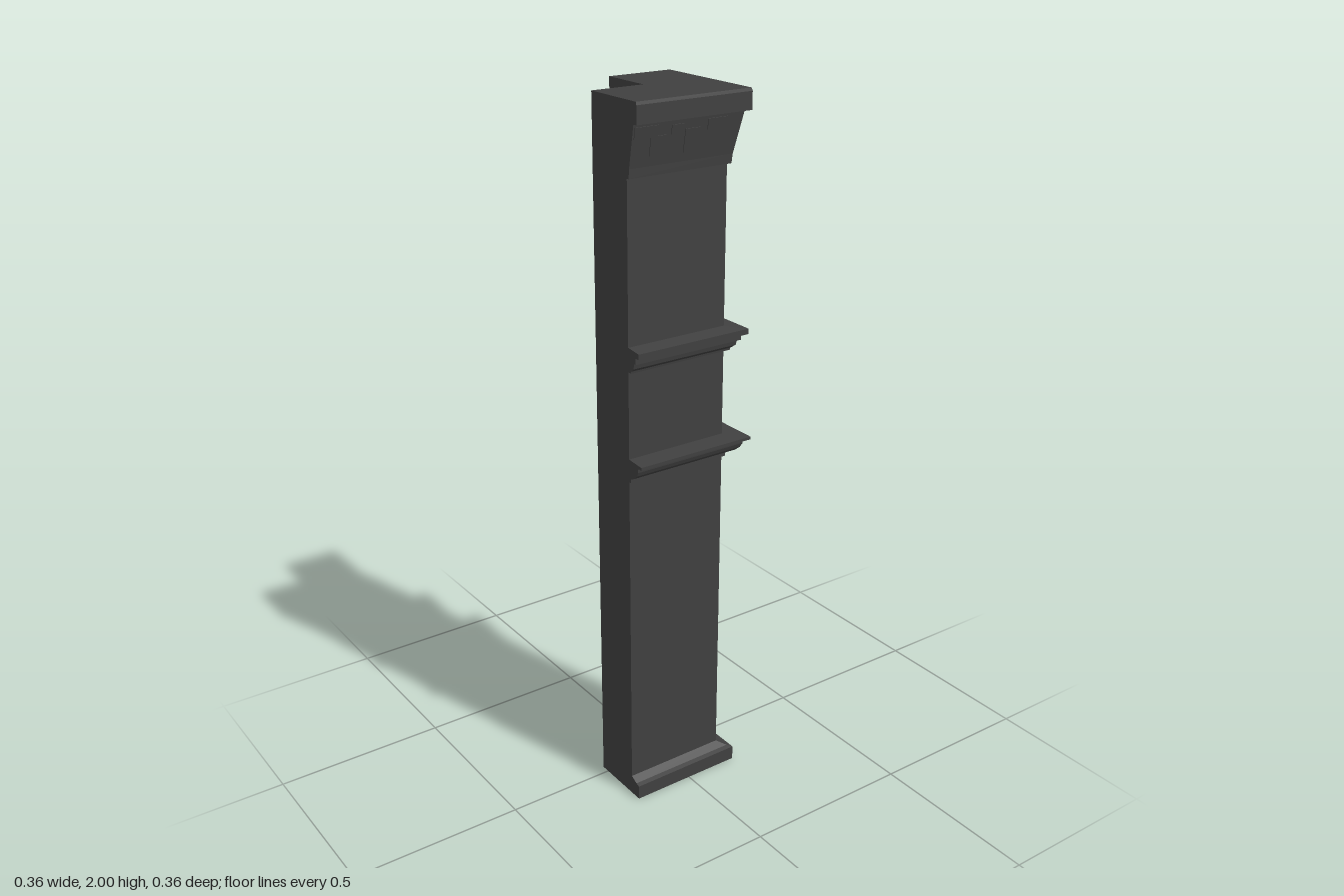
import * as THREE from 'three';

const material = new THREE.MeshStandardMaterial({ color: 0x404040, flatShading: true });
const END = 0.18, INNER = 0.025, SHAFT = 0.127;

// L-shaped section whose two outer faces stand at distance d; the end faces stay flush
const section = (d) => [
  [-END, INNER], [-INNER, INNER], [-INNER, END], [d, END], [d, -d], [-END, -d],
];

// Stack of L sections following a profile of [outer distance, height], capped at both ends
function lColumn(name, profile) {
  const pos = [];
  const tri = (a, b, c) => pos.push(...a, ...b, ...c);
  const rings = profile.map(([d, y]) => section(d).map(([x, z]) => [x, y, z]));
  for (let i = 0; i < rings.length - 1; i++) {
    const lo = rings[i], hi = rings[i + 1];
    for (let k = 0; k < 6; k++) {
      // Horizontal steps only exist on the two outer faces
      if (profile[i][1] === profile[i + 1][1] && k !== 3 && k !== 4) continue;
      const n = (k + 1) % 6;
      tri(lo[k], lo[n], hi[n]);
      tri(lo[k], hi[n], hi[k]);
    }
  }
  const caps = THREE.ShapeUtils.triangulateShape(
    section(SHAFT).map(([x, z]) => new THREE.Vector2(x, z)), []);
  const bottom = rings[0], top = rings[rings.length - 1];
  for (const [a, b, c] of caps) {
    const [p, q, r] = [top[a], top[b], top[c]];
    const up = (q[2] - p[2]) * (r[0] - p[0]) - (q[0] - p[0]) * (r[2] - p[2]) > 0;
    const [s, t] = up ? [b, c] : [c, b];
    tri(top[a], top[s], top[t]);
    tri(bottom[a], bottom[t], bottom[s]);
  }
  const geo = new THREE.BufferGeometry();
  geo.setAttribute('position', new THREE.Float32BufferAttribute(pos, 3));
  geo.computeVertexNormals();
  const mesh = new THREE.Mesh(geo, material);
  mesh.name = name;
  return mesh;
}

export function createModel() {
  const model = new THREE.Group();
  model.name = 'cornerPilaster';

  // Plinth, shaft, two moulded bands and flared capital, from the ground up
  model.add(
    lColumn('base', [[0.163, 0], [0.163, 0.042], [0.15, 0.046], [SHAFT, 0.058]]),
    lColumn('lowerShaft', [[SHAFT, 0.058], [SHAFT, 1.0]]),
    lColumn('lowerMoulding', [
      [0.134, 1.0], [0.134, 1.012], [0.142, 1.014], [0.153, 1.02], [0.163, 1.03],
      [0.168, 1.042], [0.169, 1.054], [0.183, 1.054], [0.183, 1.062], [SHAFT, 1.066],
    ]),
    lColumn('middleShaft', [[SHAFT, 1.066], [SHAFT, 1.31]]),
    lColumn('upperMoulding', [
      [0.139, 1.31], [0.14, 1.316], [0.15, 1.325], [0.153, 1.34], [0.16, 1.34],
      [0.16, 1.357], [0.174, 1.357], [0.174, 1.372], [SHAFT, 1.377],
    ]),
    lColumn('upperShaft', [[SHAFT, 1.377], [SHAFT, 1.81]]),
    lColumn('capital', [[0.135, 1.81], [0.137, 1.835], [0.157, 1.945]]),
    lColumn('cornice', [[0.17, 1.945], [0.17, 1.992], [0.168, 2]]),
  );

  // Shallow carved blocks on the sloping faces of the capital: [along, height, length, tall]
  const blocks = [
    [0.14, 1.922, 0.07, 0.03], [0.1, 1.885, 0.05, 0.05], [0.0, 1.888, 0.045, 0.06],
    [0.045, 1.92, 0.04, 0.025], [-0.075, 1.922, 0.06, 0.028],
  ];
  const slope = Math.atan(0.02 / 0.11);
  for (const side of ['left', 'back']) {
    const relief = new THREE.Group();
    relief.name = side + 'CapitalRelief';
    for (const [along, y, length, tall] of blocks) {
      const block = new THREE.Mesh(new THREE.BoxGeometry(0.006, tall, length), material);
      block.name = 'carvedBlock';
      const out = 0.137 + (y - 1.835) * 0.02 / 0.11 - 0.001;
      block.position.set(out, y, side === 'left' ? along : -along);
      block.rotation.z = -slope;
      relief.add(block);
    }
    if (side === 'back') relief.rotation.y = Math.PI / 2;
    model.add(relief);
  }
  return model;
}
